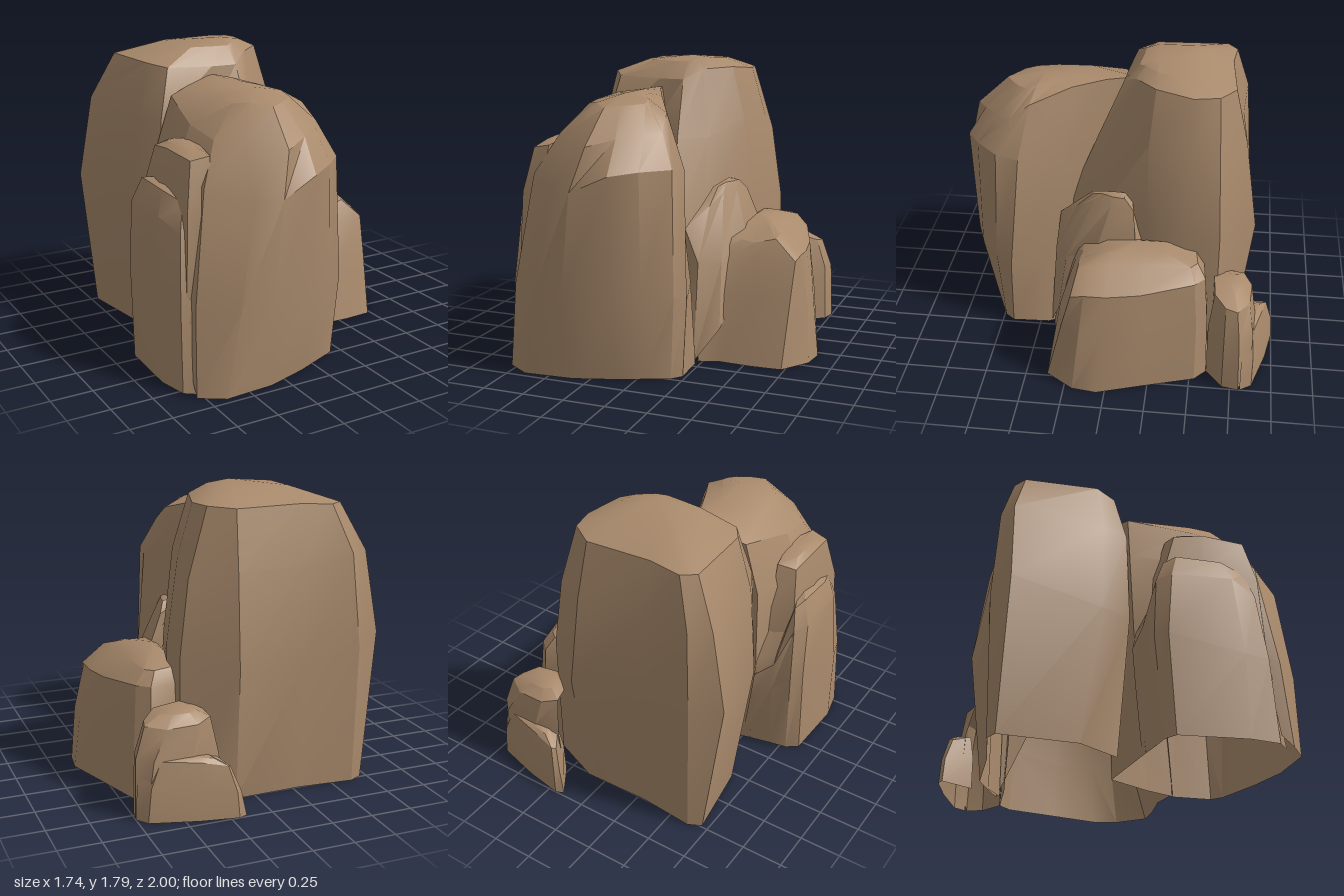
import * as THREE from 'three';
import { toCreasedNormals } from 'three/addons/utils/BufferGeometryUtils.js';

const stone = new THREE.MeshStandardMaterial({ color: 0xa98a6c, side: THREE.DoubleSide });
stone.name = 'brown stone';

// Lofts a boulder from upright edges (each listed base to rim), with a rounded crown up to the peak.
// Edges run counter-clockwise seen from above. The base is open; an open seam leaves out
// the wall from the last edge to the first, where it is buried in a neighbour.
function boulder(name, edges, peak, openSeam = false) {
  const pos = [];
  const n = edges.length, levels = edges[0].length;
  const tri = (...p) => p.forEach((v) => pos.push(...v));
  const quad = (a, b, c, d) => { tri(a, b, c); tri(a, c, d); };
  const crown = edges.map((e) => e[levels - 1].map((v, k) => v + (peak[k] - v) * (k === 1 ? 0.75 : 0.45)));
  for (let i = 0; i < n; i++) {
    const k = (i + 1) % n;
    const a = edges[i], b = edges[k];
    if (k > 0 || !openSeam) {
      for (let j = 0; j < levels - 1; j++) quad(a[j], b[j], b[j + 1], a[j + 1]);
    }
    quad(a[levels - 1], b[levels - 1], crown[k], crown[i]);
    tri(crown[i], crown[k], peak);
  }
  const g = new THREE.BufferGeometry();
  g.setAttribute('position', new THREE.Float32BufferAttribute(pos, 3));
  const mesh = new THREE.Mesh(toCreasedNormals(g, 0.5), stone);
  mesh.name = name;
  return mesh;
}

export function createModel() {
  const group = new THREE.Group();
  group.name = 'rockCluster';

  // Broad boulder at the front
  group.add(boulder('frontBoulder', [
    [[-.55, 0, .1], [-.6, .7, .03], [-.6, 1.2, .01], [-.5, 1.51, .02]],
    [[-.72, .5, .4], [-.72, .8, .4], [-.68, 1.15, .4], [-.57, 1.42, .4]],
    [[-.79, 0, .87], [-.77, .5, .83], [-.67, 1.15, .75], [-.55, 1.38, .64]],
    [[-.65, 0, .96], [-.57, .5, .98], [-.46, 1.1, .94], [-.42, 1.42, .76]],
    [[-.35, 0, .94], [-.38, .5, 1], [-.32, 1.1, 1], [-.25, 1.35, .93]],
    [[-.1, 0, .86], [-.1, .5, .95], [-.1, 1.2, .97], [-.1, 1.39, .85]],
    [[.04, 0, .8], [.06, .5, .89], [.05, 1.22, .88], [.03, 1.41, .75]],
    [[.18, 0, .74], [.21, .5, .77], [.19, 1.22, .74], [.1, 1.42, .66]],
    [[.23, 0, .68], [.25, .45, .67], [.21, 1.2, .6], [.08, 1.51, .54]],
    [[.22, 0, .45], [.19, .5, .45], [.08, 1.1, .36], [-.05, 1.58, .3]],
    [[.12, 0, .25], [.05, .6, .2], [-.05, 1.1, .12], [-.14, 1.6, .1]],
    [[-.05, 0, 0], [-.1, .6, -.02], [-.15, 1.2, -.05], [-.2, 1.6, -.08]],
  ], [-.2, 1.61, .48]));

  // Tallest boulder behind it, its front wall buried in the front boulder
  group.add(boulder('tallBoulder', [
    [[-.71, 0, -.74], [-.81, .9, -.7], [-.72, 1.4, -.69], [-.58, 1.68, -.62]],
    [[-.64, 0, -.28], [-.7, .8, -.17], [-.64, 1.35, -.15], [-.56, 1.68, -.18]],
    [[-.45, 0, -.04], [-.58, .8, .01], [-.56, 1.35, 0], [-.48, 1.66, -.06]],
    [[-.2, 1.2, .06], [-.2, 1.3, .04], [-.2, 1.4, 0], [-.2, 1.65, -.03]],
    [[.05, .5, .38], [.05, .8, .34], [-.02, 1.3, .13], [-.04, 1.65, -.02]],
    [[.18, .5, .2], [.16, .8, .14], [.13, 1.3, 0], [.06, 1.71, -.1]],
    [[.37, .6, -.18], [.36, .9, -.2], [.3, 1.4, -.2], [.21, 1.72, -.23]],
    [[.42, .5, -.42], [.43, .9, -.45], [.36, 1.4, -.45], [.27, 1.7, -.45]],
    [[.42, 0, -.64], [.42, .85, -.64], [.36, 1.3, -.62], [.24, 1.7, -.6]],
    [[.12, 0, -.76], [.14, .8, -.85], [.12, 1.35, -.77], [.1, 1.69, -.69]],
    [[-.3, 0, -.75], [-.3, .8, -.78], [-.3, 1.35, -.74], [-.3, 1.69, -.66]],
    [[-.63, 0, -.78], [-.64, .85, -.8], [-.6, 1.4, -.76], [-.5, 1.68, -.68]],
  ], [-.05, 1.79, -.22]));

  // Low boulder on the left side
  group.add(boulder('sideBoulder', [
    [[.22, 0, .41], [.24, .4, .34], [.28, .65, .25], [.33, .73, .18]],
    [[.35, 0, .37], [.36, .4, .3], [.39, .64, .23], [.42, .72, .18]],
    [[.55, 0, .38], [.53, .4, .31], [.51, .63, .24], [.5, .71, .19]],
    [[.73, 0, .37], [.75, .4, .27], [.76, .62, .21], [.63, .74, .18]],
    [[.85, 0, .2], [.83, .35, .16], [.77, .64, .13], [.64, .76, .12]],
    [[.87, 0, .05], [.83, .35, .03], [.77, .64, 0], [.62, .77, 0]],
    [[.78, 0, -.22], [.77, .35, -.22], [.74, .65, -.2], [.61, .77, -.2]],
    [[.68, 0, -.53], [.66, .4, -.53], [.64, .68, -.51], [.58, .76, -.48]],
    [[.6, 0, -.6], [.58, .4, -.59], [.57, .68, -.57], [.53, .76, -.52]],
    [[.3, 0, -.6], [.32, .4, -.58], [.35, .68, -.55], [.38, .77, -.5]],
  ], [.42, .82, -.15], true));

  // Pointed rock wedged between the large ones
  group.add(boulder('wedgeRock', [
    [[.1, .4, .38], [.12, .8, .36], [.18, .92, .25]],
    [[.2, 0, .43], [.21, .6, .38], [.23, .92, .24]],
    [[.34, .2, .36], [.33, .6, .3], [.28, .99, .13]],
    [[.45, .5, .15], [.42, .73, .1], [.33, .99, .02]],
    [[.45, .5, -.15], [.43, .78, -.14], [.35, .98, -.12]],
    [[.25, .6, -.2], [.25, .8, -.2], [.25, 1.02, -.1]],
  ], [.27, 1.06, .01], true));

  // Small rock at the back and its low pointed ledge
  group.add(boulder('backRock', [
    [[.26, 0, -.7], [.28, .35, -.7], [.32, .58, -.68]],
    [[.4, 0, -.62], [.4, .35, -.62], [.4, .6, -.62]],
    [[.6, 0, -.6], [.6, .35, -.6], [.58, .58, -.63]],
    [[.73, 0, -.7], [.72, .35, -.7], [.66, .54, -.7]],
    [[.75, 0, -.8], [.74, .35, -.79], [.68, .53, -.77]],
    [[.68, .2, -.87], [.66, .35, -.87], [.57, .52, -.84]],
    [[.45, .2, -.89], [.43, .35, -.88], [.39, .53, -.85]],
    [[.25, .2, -.86], [.27, .35, -.85], [.3, .55, -.8]],
  ], [.46, .6, -.72], true));
  group.add(boulder('backLedge', [
    [[.75, 0, -.81], [.74, .2, -.81], [.68, .36, -.81]],
    [[.7, 0, -.88], [.68, .2, -.88], [.62, .35, -.87]],
    [[.42, 0, -.96], [.41, .18, -.95], [.4, .33, -.92]],
    [[.2, 0, -1], [.21, .15, -.99], [.25, .3, -.95]],
    [[.15, 0, -.98], [.18, .15, -.97], [.23, .29, -.93]],
    [[.27, 0, -.8], [.28, .2, -.8], [.3, .34, -.82]],
  ], [.42, .36, -.86], true));

  // Two stepped slabs leaning on the front boulder's right side
  group.add(boulder('lowerSlab', [
    [[-.5, 0, .09], [-.57, .4, .04], [-.6, .6, .02], [-.6, .7, .04]],
    [[-.68, 0, .13], [-.7, .5, .07], [-.71, .7, .06], [-.71, .78, .1]],
    [[-.79, 0, .15], [-.81, .6, .1], [-.8, .95, .12], [-.77, 1.08, .17]],
    [[-.86, 0, .2], [-.86, .6, .17], [-.85, .97, .2], [-.8, 1.11, .24]],
    [[-.87, 0, .6], [-.87, .5, .6], [-.85, .97, .55], [-.8, 1.1, .5]],
    [[-.83, 0, .78], [-.82, .5, .75], [-.79, .9, .7], [-.75, 1.06, .65]],
    [[-.75, 0, .84], [-.72, .5, .78], [-.66, .95, .72], [-.64, 1.1, .65]],
  ], [-.7, 1.13, .4], true));
  group.add(boulder('upperSlab', [
    [[-.62, .7, .12], [-.62, 1.05, .14], [-.61, 1.31, .22]],
    [[-.74, .7, .15], [-.76, 1.05, .18], [-.72, 1.29, .25]],
    [[-.79, .75, .4], [-.78, 1.08, .4], [-.73, 1.31, .42]],
    [[-.79, .4, .76], [-.76, 1.03, .73], [-.71, 1.29, .67]],
    [[-.7, .4, .84], [-.64, 1, .78], [-.6, 1.31, .69]],
    [[-.58, .8, .55], [-.57, 1, .5], [-.57, 1.35, .45]],
  ], [-.64, 1.34, .42], true));

  return group;
}
